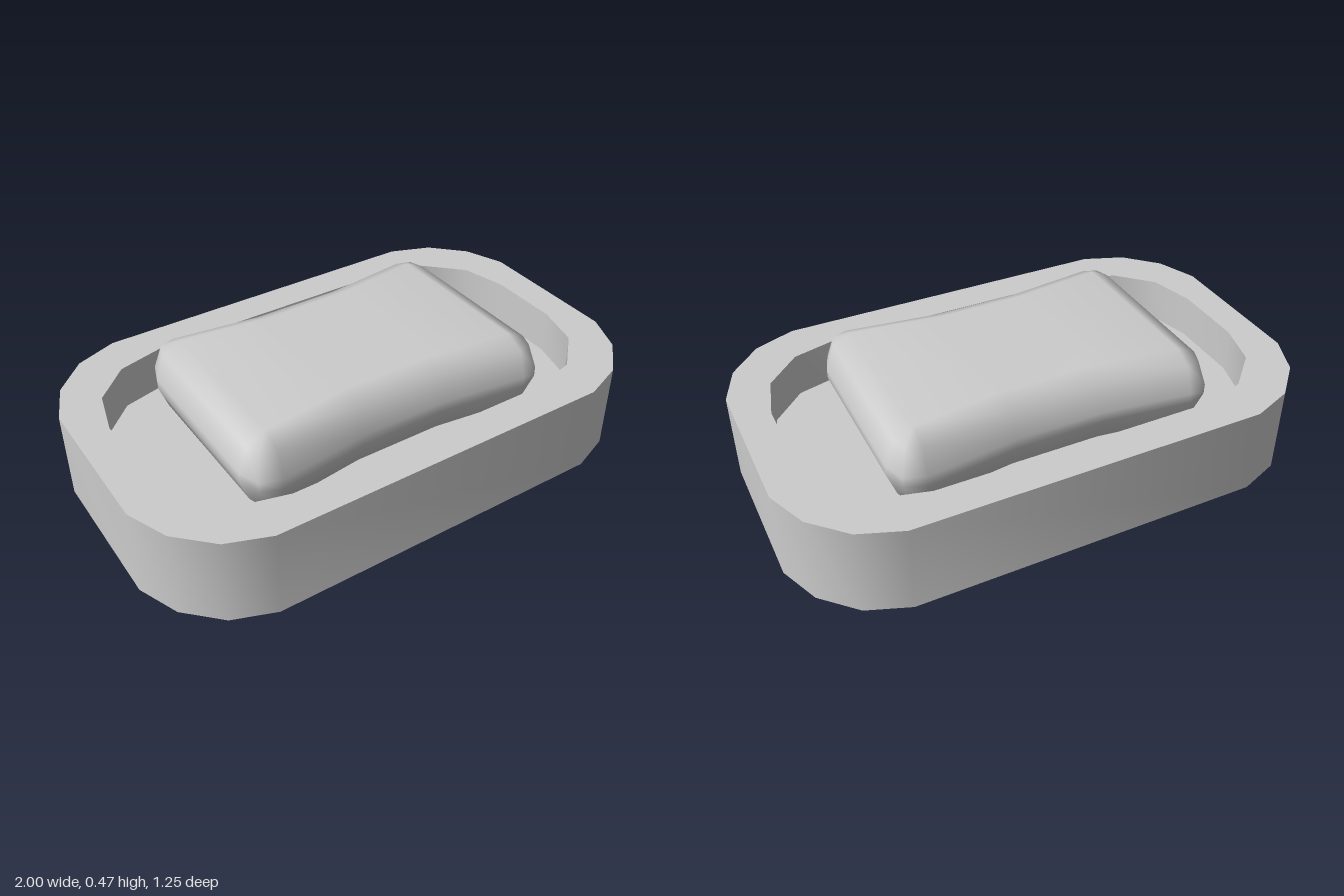
import * as THREE from 'three';
import { toCreasedNormals } from 'three/addons/utils/BufferGeometryUtils.js';
import { mergeVertices } from 'three/addons/utils/BufferGeometryUtils.js';

// Mirror one corner's points (+x to +z order) into a closed outline
function mirrorOutline(corner) {
  const half = [...corner, ...corner.map(([x, z]) => [-x, z]).reverse()];
  return [...half, ...half.map(([x, z]) => [x, -z]).reverse()];
}

const toPoints = (corner) => mirrorOutline(corner).map(([x, z]) => new THREE.Vector2(x, z));

// Upright slab with smooth rounded corners and sharp rims
function slab(shape, height) {
  const geo = new THREE.ExtrudeGeometry(shape, { depth: height, bevelEnabled: false });
  geo.rotateX(-Math.PI / 2);
  return toCreasedNormals(geo, 0.7);
}

// Waisted, pillow-edged bar built from stacked rings
function soapGeometry() {
  // [height, bulge beyond the core block]
  const levels = [[0.17, 0], [0.21, 0.075], [0.3, 0.108], [0.34, 0.108], [0.437, 0.075], [0.473, 0]];
  const positions = [];
  for (const [y, r] of levels) {
    const ring = mirrorOutline([
      [0.51 + r, 0.31], [0.51 + r * 0.74, 0.31 + r * 0.74], [0.51, 0.31 + r], [0.17, 0.267 + r],
    ]);
    for (const [x, z] of ring) positions.push(x, y, z);
  }
  const n = 16;
  const index = [];
  const quad = (a, b, c, d) => index.push(a, b, c, a, c, d);
  // Sides
  for (let k = 0; k < levels.length - 1; k++) {
    for (let i = 0; i < n; i++) {
      const j = (i + 1) % n;
      quad(k * n + i, (k + 1) * n + i, (k + 1) * n + j, k * n + j);
    }
  }
  // Top and underside, in strips from front to back
  const top = (levels.length - 1) * n;
  for (let i = 0; i < n / 2 - 1; i++) {
    quad(top + i, top + 15 - i, top + 14 - i, top + i + 1);
    quad(i, i + 1, 14 - i, 15 - i);
  }
  const geo = new THREE.BufferGeometry();
  geo.setAttribute('position', new THREE.Float32BufferAttribute(positions, 3));
  geo.setIndex(index);
  const merged = mergeVertices(geo);
  merged.computeVertexNormals();
  return merged;
}

export function createModel() {
  const group = new THREE.Group();
  group.name = 'soapDish';
  const grey = new THREE.MeshStandardMaterial({ color: 0xcccccc });
  grey.name = 'lightGrey';

  const add = (name, geometry) => {
    const mesh = new THREE.Mesh(geometry, grey);
    mesh.name = name;
    group.add(mesh);
  };

  const outer = [[1, 0.288], [0.937, 0.443], [0.817, 0.564], [0.66, 0.624]];
  const inner = [[0.875, 0.14], [0.83, 0.315], [0.7, 0.443], [0.52, 0.49]];

  // Dish wall with its open well
  const wall = new THREE.Shape(toPoints(outer));
  wall.holes.push(new THREE.Path(toPoints(inner)));
  add('dishWall', slab(wall, 0.34));

  // Floor of the well
  add('dishFloor', slab(new THREE.Shape(toPoints(inner)), 0.17));

  add('soapBar', soapGeometry());
  return group;
}
